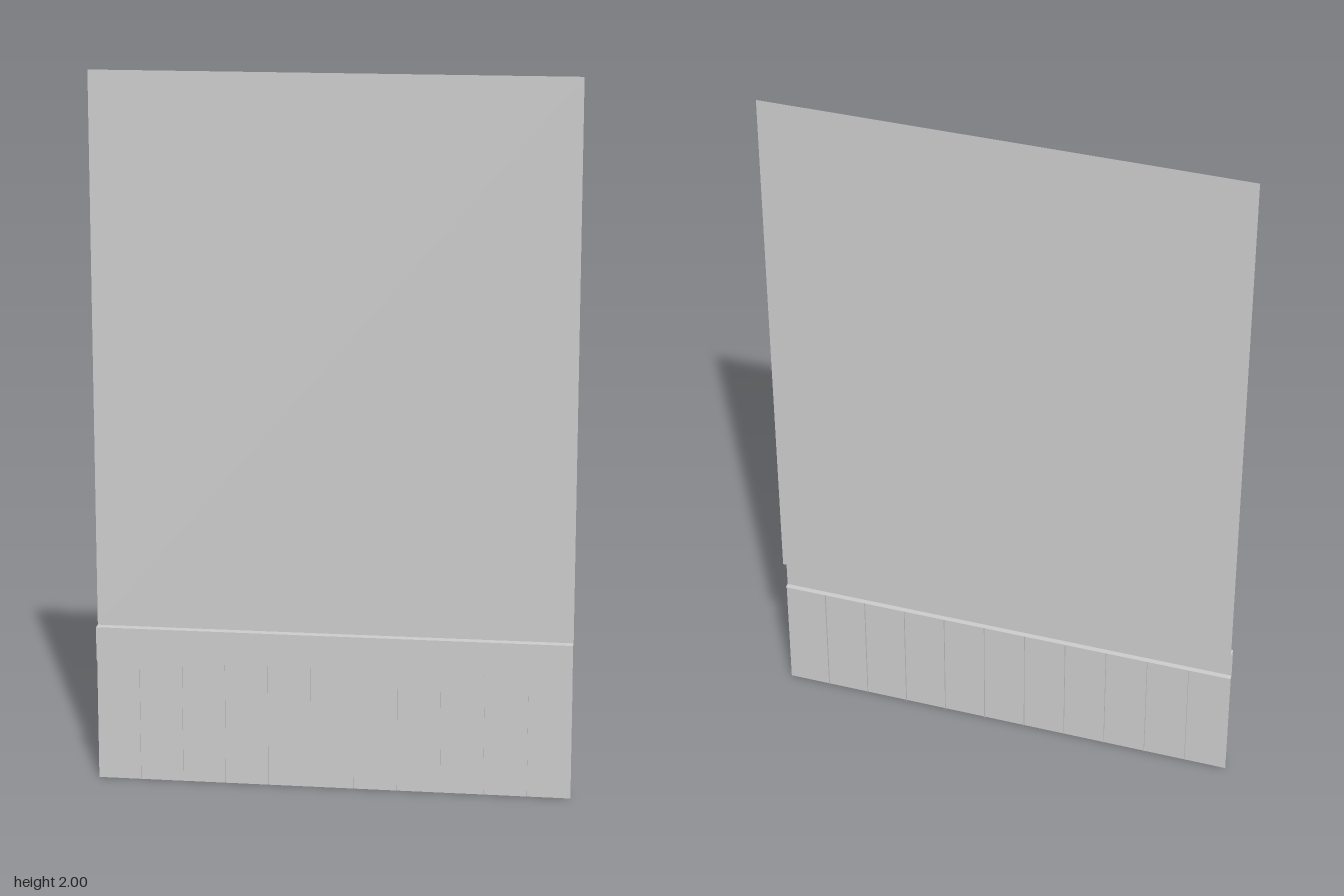
import * as THREE from 'three';

const WIDTH = 1.333;
const material = new THREE.MeshStandardMaterial({ color: 0xcccccc, side: THREE.DoubleSide, flatShading: true });

// Heights and depths of the wall layers
const TRIM_BOTTOM = 0.35, TRIM_TOP = 0.445, TOP = 2;
const WALL_Z = -0.0125, TRIM_Z = 0.0125, BOARD_Z = 0.004;
const SEAM_BACK = -0.003, SEAM_FRONT = 0.008, BOARDS = 11;

function add(parent, name, geometry) {
  const mesh = new THREE.Mesh(geometry, material);
  mesh.name = name;
  parent.add(mesh);
  return mesh;
}

// Upright sheet facing the front
function sheet(parent, name, x, width, y0, y1, z) {
  add(parent, name, new THREE.PlaneGeometry(width, y1 - y0)).position.set(x, (y0 + y1) / 2, z);
}

// Level strip joining two depths
function ledge(parent, name, y, z0, z1) {
  const geometry = new THREE.PlaneGeometry(WIDTH, z1 - z0).rotateX(-Math.PI / 2);
  add(parent, name, geometry).position.set(0, y, (z0 + z1) / 2);
}

export function createModel() {
  const group = new THREE.Group();
  group.name = 'panelledWall';

  sheet(group, 'upperWall', 0, WIDTH, TRIM_TOP, TOP, WALL_Z);

  // Trim rail standing proud of the wall
  sheet(group, 'trimRail', 0, WIDTH, TRIM_BOTTOM, TRIM_TOP, TRIM_Z);
  ledge(group, 'trimTopLedge', TRIM_TOP, WALL_Z, TRIM_Z);
  ledge(group, 'trimUnderside', TRIM_BOTTOM, SEAM_BACK, TRIM_Z);

  // Wainscot boards with a thin seam between neighbours
  const wainscot = new THREE.Group();
  wainscot.name = 'wainscot';
  group.add(wainscot);
  const pitch = WIDTH / BOARDS;
  for (let i = 0; i < BOARDS; i++) {
    const left = -WIDTH / 2 + i * pitch;
    sheet(wainscot, 'board', left + pitch / 2, pitch, 0, TRIM_BOTTOM, BOARD_Z);
    if (i > 0) {
      const seam = new THREE.PlaneGeometry(SEAM_FRONT - SEAM_BACK, TRIM_BOTTOM).rotateY(Math.PI / 2);
      add(wainscot, 'boardSeam', seam).position.set(left, TRIM_BOTTOM / 2, (SEAM_FRONT + SEAM_BACK) / 2);
    }
  }
  return group;
}
